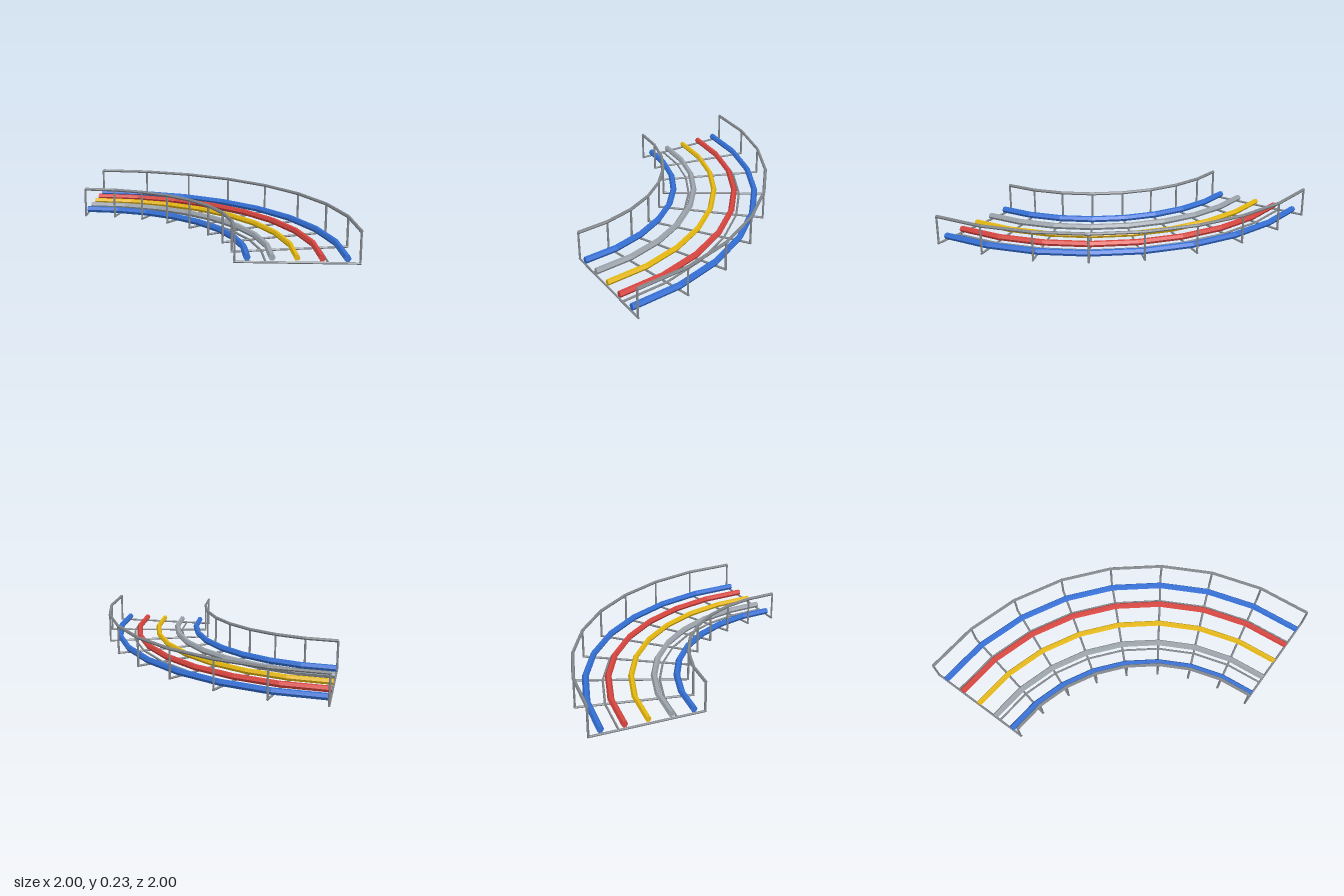
import * as THREE from 'three';

const BAYS = 8, INNER = 1.185, OUTER = 1.977;
const FLOOR_Y = 0.009, RAIL_Y = 0.218, PIPE_Y = 0.04;

const mat = (name, color) => {
  const m = new THREE.MeshStandardMaterial({ color, flatShading: true });
  m.name = name;
  return m;
};

export function createModel() {
  const model = new THREE.Group();
  model.name = 'curvedCableTray';
  // bend centre sits at the front left corner of the plan
  const tray = new THREE.Group();
  tray.name = 'tray';
  tray.position.set(-0.992, 0, 0.992);
  model.add(tray);

  const steel = mat('steel grey', 0x82878c);
  const blue = mat('blue', 0x3470d6);
  const red = mat('red', 0xd8453f);
  const yellow = mat('yellow', 0xe6b80f);
  const silver = mat('silver grey', 0x9ca4ac);

  const add = (parent, name, geo, material) => {
    const mesh = new THREE.Mesh(geo, material);
    mesh.name = name;
    parent.add(mesh);
    return mesh;
  };

  // faceted quarter-circle bar with capped ends
  function arcBar(name, R, r, y, material) {
    const g = new THREE.Group();
    g.name = name;
    g.position.y = y;
    const arc = new THREE.TorusGeometry(R, r, 6, BAYS, Math.PI / 2);
    arc.rotateX(-Math.PI / 2);
    add(g, name + 'Bar', arc, material);
    add(g, name + 'FrontCap', new THREE.CircleGeometry(r, 6), material).position.x = R;
    const cap = add(g, name + 'SideCap', new THREE.CircleGeometry(r, 6), material);
    cap.position.z = -R;
    cap.rotation.y = -Math.PI / 2;
    tray.add(g);
  }

  // top rails and the two floor wires
  arcBar('innerTopRail', INNER, 0.012, RAIL_Y, steel);
  arcBar('outerTopRail', OUTER, 0.012, RAIL_Y, steel);
  arcBar('innerFloorWire', INNER + (OUTER - INNER) * 0.25, 0.008, FLOOR_Y, steel);
  arcBar('outerFloorWire', INNER + (OUTER - INNER) * 0.75, 0.008, FLOOR_Y, steel);

  // five pipes, evenly spaced across the tray
  [['innerBluePipe', blue, 0.024], ['silverPipe', silver, 0.023], ['yellowPipe', yellow, 0.021],
    ['redPipe', red, 0.023], ['outerBluePipe', blue, 0.024]].forEach(([name, m, r], i) => {
    arcBar(name, INNER + (OUTER - INNER) * (i + 0.5) / 5, r, PIPE_Y, m);
  });

  // a rung and two posts at every joint
  for (let i = 0; i <= BAYS; i++) {
    const frame = new THREE.Group();
    frame.name = 'crossFrame' + i;
    frame.rotation.y = (i / BAYS) * Math.PI / 2;
    const rung = add(frame, 'rung', new THREE.CylinderGeometry(0.008, 0.008, OUTER - INNER + 0.014, 6), steel);
    rung.rotation.z = Math.PI / 2;
    rung.position.set((INNER + OUTER) / 2, FLOOR_Y, 0);
    for (const [name, R] of [['innerPost', INNER], ['outerPost', OUTER]]) {
      add(frame, name, new THREE.CylinderGeometry(0.008, 0.008, RAIL_Y - FLOOR_Y, 6), steel)
        .position.set(R, (RAIL_Y + FLOOR_Y) / 2, 0);
    }
    tray.add(frame);
  }
  return model;
}
